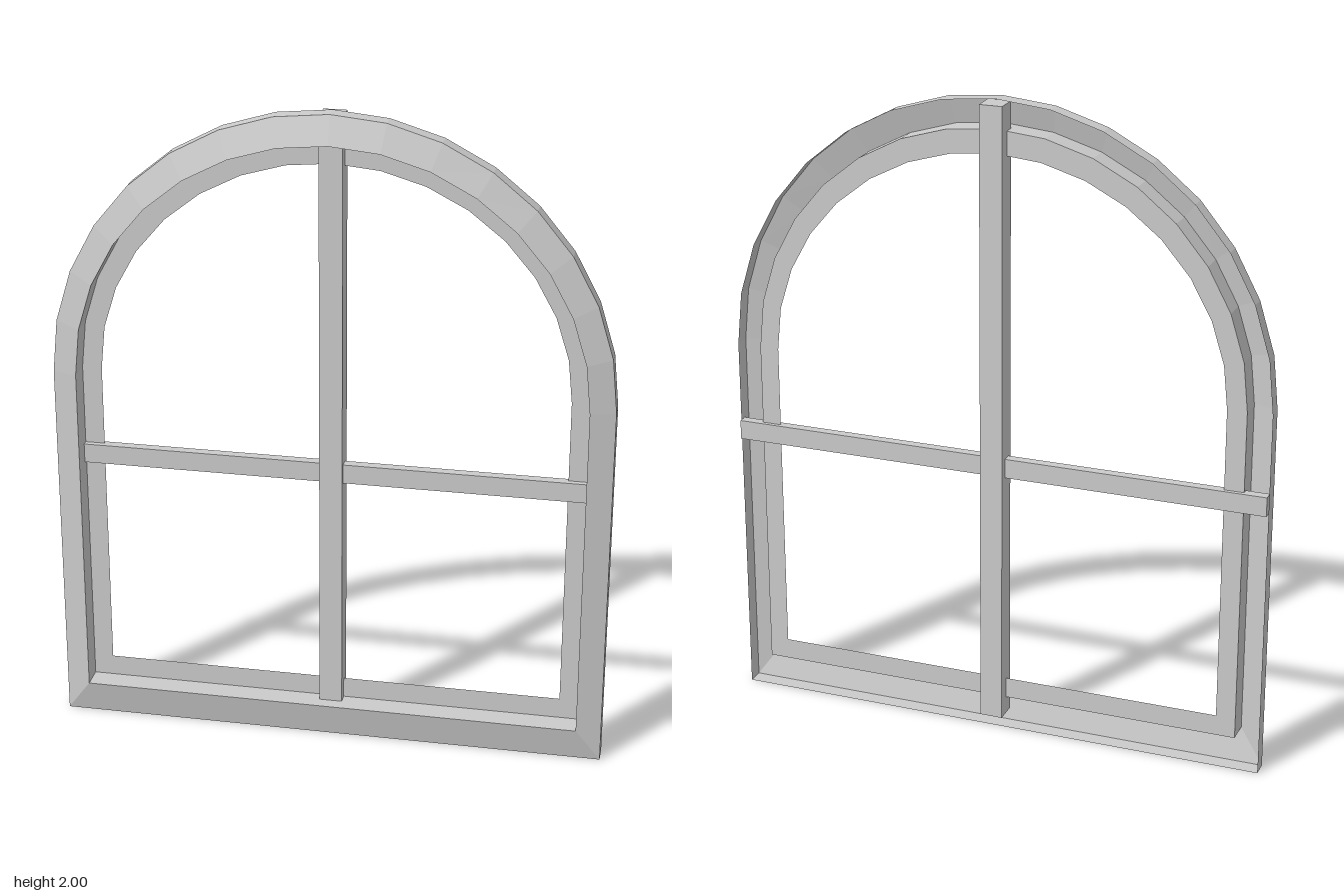
import * as THREE from 'three';

const SPRING = 1.155; // height where the arch begins
const ARCH_STEPS = 16;

const material = new THREE.MeshStandardMaterial({
  color: 0xcccccc, flatShading: true, side: THREE.DoubleSide,
});

// Closed arched outline: half width, sill height, crown height, depth
function archLoop(halfWidth, bottom, top, z) {
  const points = [[-halfWidth, bottom, z], [halfWidth, bottom, z]];
  for (let i = 0; i <= ARCH_STEPS; i++) {
    const a = (Math.PI * i) / ARCH_STEPS;
    points.push([halfWidth * Math.cos(a), SPRING + (top - SPRING) * Math.sin(a), z]);
  }
  return points;
}

// Sheet joining successive outlines
function loftLoops(name, loops) {
  const n = loops[0].length;
  const index = [];
  for (let l = 0; l < loops.length - 1; l++) {
    for (let i = 0; i < n; i++) {
      const j = (i + 1) % n;
      const a = l * n + i, b = l * n + j, c = a + n, d = b + n;
      index.push(a, b, d, a, d, c);
    }
  }
  let geometry = new THREE.BufferGeometry();
  geometry.setAttribute('position', new THREE.Float32BufferAttribute(loops.flat(2), 3));
  geometry.setIndex(index);
  geometry = geometry.toNonIndexed();
  geometry.computeVertexNormals();
  const mesh = new THREE.Mesh(geometry, material);
  mesh.name = name;
  return mesh;
}

// Box given by its extents on each axis
function bar(name, [x0, x1], [y0, y1], [z0, z1]) {
  const mesh = new THREE.Mesh(new THREE.BoxGeometry(x1 - x0, y1 - y0, z1 - z0), material);
  mesh.position.set((x0 + x1) / 2, (y0 + y1) / 2, (z0 + z1) / 2);
  mesh.name = name;
  return mesh;
}

export function createModel() {
  const model = new THREE.Group();
  model.name = 'archedWindow';

  // Hollow casing: outer wall, sloping face, inner wall
  const innerBack = archLoop(0.77, 0.105, 1.913, -0.018);
  model.add(loftLoops('outerCasing', [
    archLoop(0.845, 0, 2, -0.018),
    archLoop(0.845, 0, 2, 0.033),
    archLoop(0.77, 0.105, 1.913, 0.056),
    innerBack,
  ]));

  // Flat recessed sash around the opening
  model.add(loftLoops('sash', [innerBack, archLoop(0.71, 0.17, 1.84, -0.018)]));

  // Glazing bars
  model.add(bar('verticalBar', [-0.035, 0.035], [0.05, 1.99], [-0.056, 0.015]));
  model.add(bar('crossBar', [-0.842, 0.842], [0.847, 0.907], [-0.031, 0]));

  return model;
}
